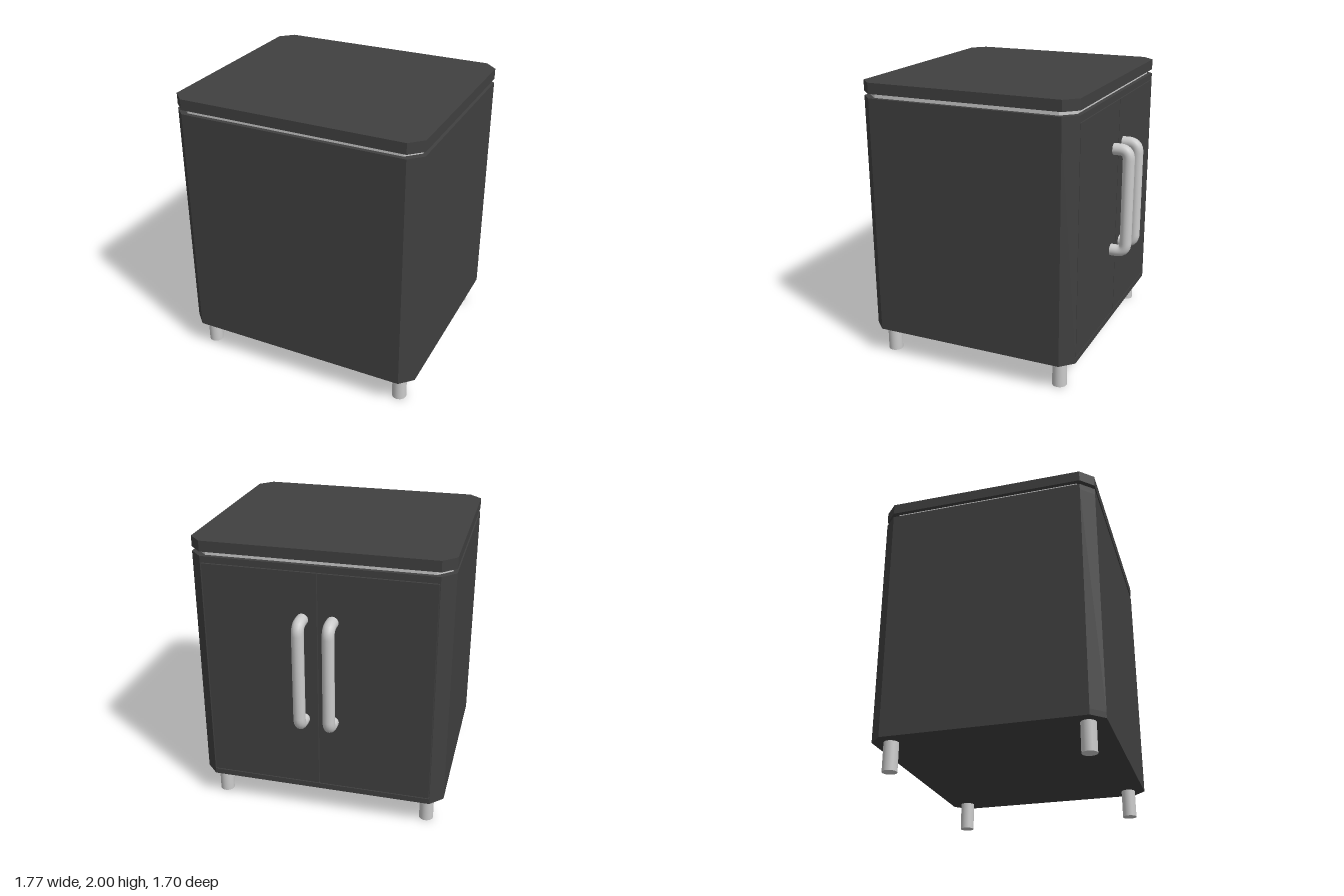
import * as THREE from 'three';

const dark = new THREE.MeshStandardMaterial({ color: 0x404040, flatShading: true });
const metal = new THREE.MeshStandardMaterial({ color: 0xcccccc });
const HALF_X = 0.885, BACK = -0.7, FRONT = 0.85, CHAMFER = 0.088;
const DOOR_X = 0.795, DOOR_Y0 = 0.24, DOOR_Y1 = 1.85, RECESS = 0.03;

// Horizontal slab with chamfered corners, optionally with a notch in the door side
function slab(name, y0, y1, material, inset = 0, notch = 0) {
  const x = HALF_X - inset, f = FRONT - inset, b = BACK + inset, c = CHAMFER;
  const pts = [[-x, f - c], [-x + c, f], [x - c, f], [x, f - c], [x, b + c], [x - c, b]];
  if (notch) pts.push([DOOR_X, b], [DOOR_X, b + notch], [-DOOR_X, b + notch], [-DOOR_X, b]);
  pts.push([-x + c, b], [-x, b + c]);
  const shape = new THREE.Shape(pts.map(([px, pz]) => new THREE.Vector2(px, -pz)));
  const geo = new THREE.ExtrudeGeometry(shape, { depth: y1 - y0, bevelEnabled: false });
  geo.rotateX(-Math.PI / 2);
  const mesh = new THREE.Mesh(geo, material);
  mesh.name = name;
  mesh.position.y = y0;
  return mesh;
}

// Bar handle with rounded bends, running into the door at both ends
function handle(x) {
  const y0 = 0.767, y1 = 1.515, z = -0.809, r = 0.065;
  const v = (y, pz) => new THREE.Vector3(x, y, pz);
  const path = new THREE.CurvePath();
  path.add(new THREE.LineCurve3(v(y0, BACK + 0.01), v(y0, z + r)));
  path.add(new THREE.QuadraticBezierCurve3(v(y0, z + r), v(y0, z), v(y0 + r, z)));
  path.add(new THREE.LineCurve3(v(y0 + r, z), v(y1 - r, z)));
  path.add(new THREE.QuadraticBezierCurve3(v(y1 - r, z), v(y1, z), v(y1, z + r)));
  path.add(new THREE.LineCurve3(v(y1, z + r), v(y1, BACK + 0.01)));
  return new THREE.Mesh(new THREE.TubeGeometry(path, 64, 0.042, 16), metal);
}

export function createModel() {
  const model = new THREE.Group();
  model.name = 'cabinet';

  // Carcass: floor, recessed middle and upper rail
  const carcass = new THREE.Group();
  carcass.name = 'carcass';
  carcass.add(
    slab('carcassFloor', 0.2, DOOR_Y0, dark),
    slab('carcassWalls', DOOR_Y0, DOOR_Y1, dark, 0, RECESS),
    slab('carcassRail', DOOR_Y1, 1.895, dark)
  );
  model.add(carcass);

  // Worktop on a set-back metal spacer
  model.add(slab('spacer', 1.895, 1.925, metal, 0.03));
  model.add(slab('worktop', 1.925, 2, dark));

  // Pair of doors with narrow gaps, each with its handle
  const gap = 0.006, width = DOOR_X - 1.5 * gap;
  for (const side of [-1, 1]) {
    const door = new THREE.Mesh(
      new THREE.BoxGeometry(width, DOOR_Y1 - DOOR_Y0 - 2 * gap, RECESS), dark);
    door.name = side > 0 ? 'leftDoor' : 'rightDoor';
    door.position.set(side * (gap / 2 + width / 2), (DOOR_Y0 + DOOR_Y1) / 2, BACK + RECESS / 2);
    const bar = handle(side * 0.103);
    bar.name = side > 0 ? 'leftHandle' : 'rightHandle';
    model.add(door, bar);

    // Round legs
    for (const z of [0.73, -0.575]) {
      const leg = new THREE.Mesh(new THREE.CylinderGeometry(0.051, 0.051, 0.2, 24), metal);
      leg.name = (z > 0 ? 'front' : 'back') + (side > 0 ? 'LeftLeg' : 'RightLeg');
      leg.position.set(side * 0.763, 0.1, z);
      model.add(leg);
    }
  }
  return model;
}
